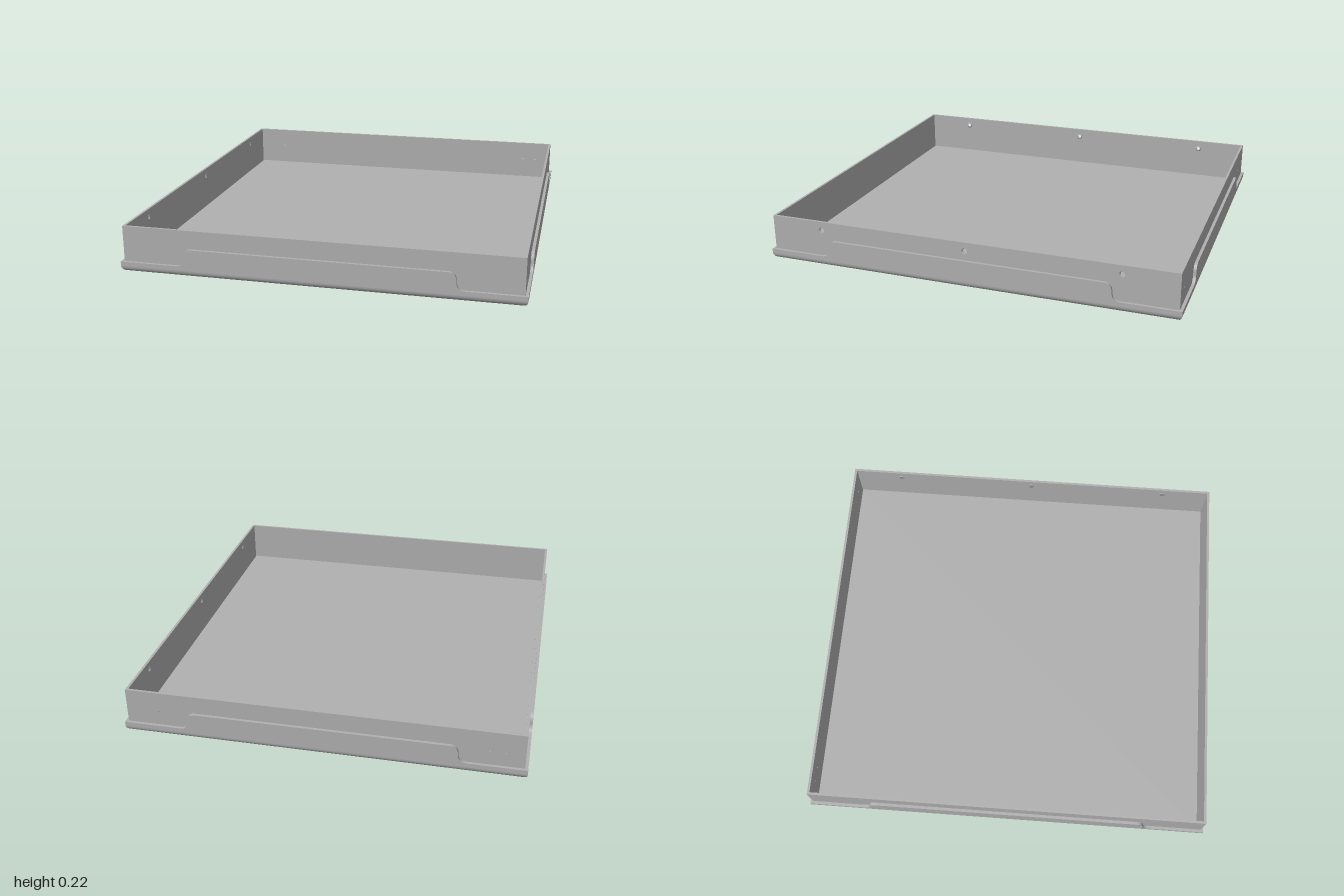
import * as THREE from 'three';

const W = 0.932, D = 1;          // half width and half depth of the pan
const R = 0.03;                  // bottom edge rounding
const GAP = 0.014;               // inset of the inner frame (skirt thickness)
const T = 0.012;                 // frame wall thickness
const LOW = 0.05, HIGH = 0.133, TOP = 0.22;

export function createModel() {
  const metal = new THREE.MeshStandardMaterial({ color: 0xb0b0b0 });
  metal.name = 'grey metal';
  const model = new THREE.Group();
  model.name = 'tray';

  const add = (parent, name, geometry, x = 0, y = 0, z = 0) => {
    const mesh = new THREE.Mesh(geometry, metal);
    mesh.name = name;
    mesh.position.set(x, y, z);
    parent.add(mesh);
    return mesh;
  };
  const extrude = (shape, depth) =>
    new THREE.ExtrudeGeometry(shape, { depth, bevelEnabled: false, curveSegments: 10 });

  // Rounded lower edge of one side, mitred at the corners
  const roundedEdge = (half, dist) => {
    const g = new THREE.PlaneGeometry(2, 1, 1, 8);
    const p = g.attributes.position;
    for (let i = 0; i < p.count; i++) {
      const a = (p.getY(i) + 0.5) * Math.PI / 2;
      const inset = R * (1 - Math.sin(a));
      p.setXYZ(i, p.getX(i) * (half - inset), R * (1 - Math.cos(a)), dist - inset);
    }
    g.computeVertexNormals();
    return g;
  };

  // Low skirt that steps up to a long tab through S-curves
  const skirtShape = (half, step) => {
    const r = 0.04, s = new THREE.Shape();
    s.moveTo(-half, R);
    s.lineTo(half, R);
    s.lineTo(half, LOW);
    s.lineTo(step + r, LOW);
    s.quadraticCurveTo(step, LOW, step, LOW + r);
    s.quadraticCurveTo(step, HIGH, step - r, HIGH);
    s.lineTo(-step + r, HIGH);
    s.quadraticCurveTo(-step, HIGH, -step, LOW + r);
    s.quadraticCurveTo(-step, LOW, -step - r, LOW);
    s.lineTo(-half, LOW);
    return s;
  };

  // Frame wall with round holes given as [x, y, radius]
  const wallShape = (half, holes) => {
    const s = new THREE.Shape();
    s.moveTo(-half, 0.005);
    s.lineTo(half, 0.005);
    s.lineTo(half, TOP);
    s.lineTo(-half, TOP);
    for (const [x, y, r] of holes) {
      s.holes.push(new THREE.Path().absarc(x, y, r, 0, Math.PI * 2, true));
    }
    return s;
  };

  // Countersunk seat inside each screw hole
  const seat = new THREE.LatheGeometry(
    [[0.009, 0], [0.016, 0], [0.016, T], [0.009, 0]].map(([x, y]) => new THREE.Vector2(x, y)), 20);
  seat.rotateX(Math.PI / 2);
  const screwZ = [-0.73, 0, 0.73], screwY = 0.176;
  const pinX = [-0.83, -0.76, 0.76, 0.83];

  ['front', 'left', 'back', 'right'].forEach((label, i) => {
    const isSide = i % 2 === 1;
    const half = isSide ? D : W, dist = isSide ? W : D;
    const side = new THREE.Group();
    side.name = label + 'Side';
    side.rotation.y = i * Math.PI / 2;
    model.add(side);

    add(side, 'roundedEdge', roundedEdge(half, dist));
    add(side, 'skirt', extrude(skirtShape(isSide ? half - GAP : half, isSide ? 0.69 : 0.625), GAP),
      0, 0, dist - GAP);

    let holes = [];
    if (isSide) holes = screwZ.map(z => [z, screwY, 0.016]);
    else if (label === 'back') holes = pinX.map(x => [x, 0.12, 0.004]);
    add(side, 'frameWall', extrude(wallShape(half - GAP - (isSide ? T : 0), holes), T),
      0, 0, dist - GAP - T);
    if (isSide) {
      for (const z of screwZ) add(side, 'screwSeat', seat, z, screwY, dist - GAP - T).material = metalBoth(metal);
    }
  });

  // Floor plate
  add(model, 'floor', new THREE.BoxGeometry(2 * (W - R), 0.015, 2 * (D - R)), 0, 0.0075, 0);
  return model;
}

// The seats are thin, so the shared metal is shown from both faces
function metalBoth(material) {
  material.side = THREE.DoubleSide;
  return material;
}
